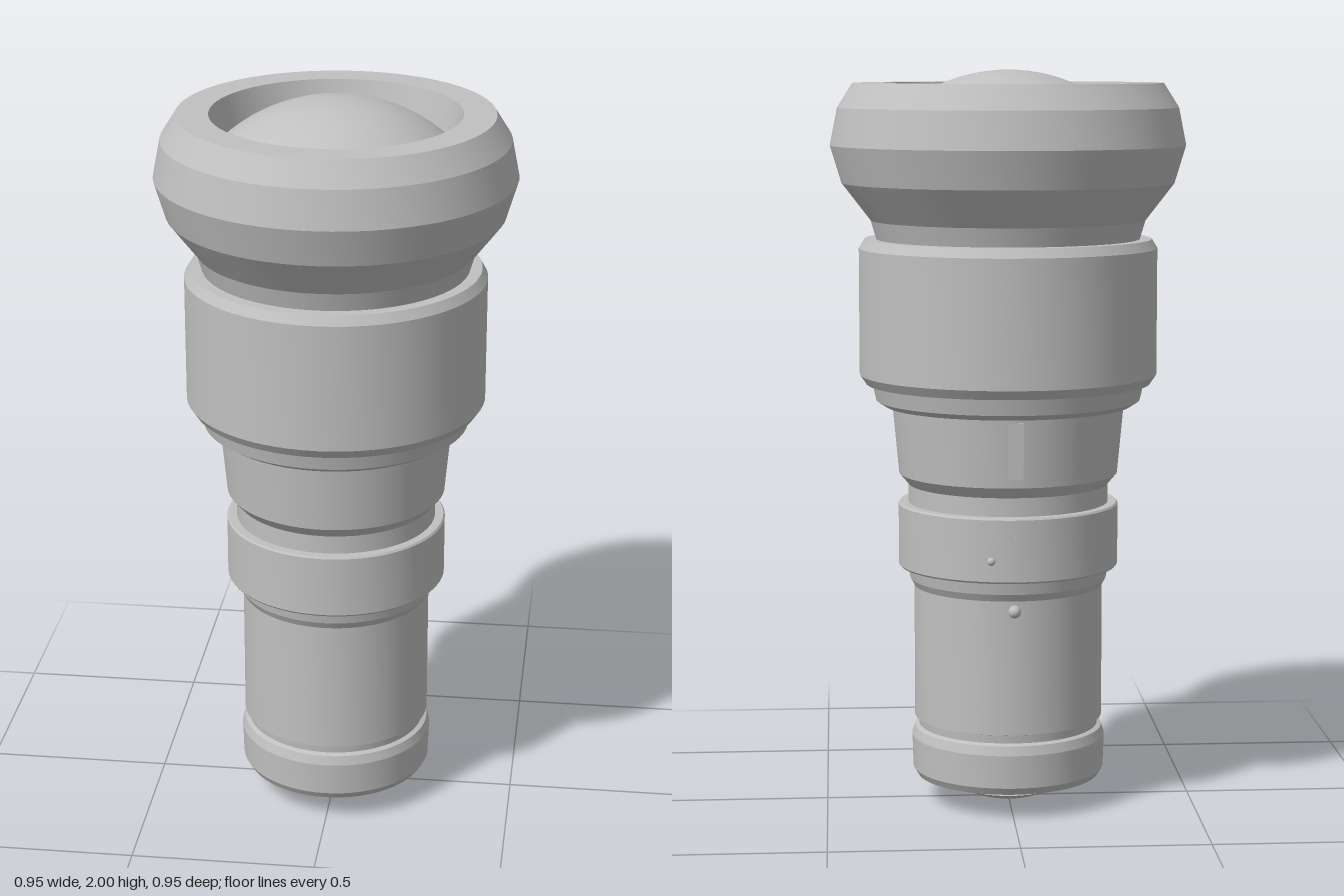
import * as THREE from 'three';
import { toCreasedNormals } from 'three/addons/utils/BufferGeometryUtils.js';

const SEGMENTS = 64;

export function createModel() {
  const group = new THREE.Group();
  const grey = new THREE.MeshStandardMaterial({ color: 0xc0c0c0 });
  grey.name = 'satin grey';

  function add(name, geometry, x = 0, y = 0, z = 0) {
    const mesh = new THREE.Mesh(geometry, grey);
    mesh.name = name;
    mesh.position.set(x, y, z);
    group.add(mesh);
  }

  // Turned part: [radius, height] pairs, bottom to top on the outside
  function turned(name, profile, crease = 0.15) {
    const points = profile.map(([r, y]) => new THREE.Vector2(r, y));
    add(name, toCreasedNormals(new THREE.LatheGeometry(points, SEGMENTS), crease));
  }

  // Points of a spherical cap from its apex (y) to its edge radius
  function cap(apex, edgeRadius, sag, steps = 12) {
    const R = (edgeRadius ** 2 + sag ** 2) / (2 * Math.abs(sag));
    const sweep = Math.asin(edgeRadius / R);
    return Array.from({ length: steps + 1 }, (_, i) => {
      const a = sweep * i / steps;
      return [R * Math.sin(a), apex - Math.sign(sag) * R * (1 - Math.cos(a))];
    });
  }

  // Foot with the recess for the lower lens
  turned('foot', [
    [0, 0.2], [0.14, 0.2], [0.14, 0.075], [0.25, 0.075], [0.262, 0.095],
    [0.265, 0.185], [0.257, 0.21], [0.245, 0.215],
  ]);
  turned('lowerTube', [
    [0.245, 0.215], [0.247, 0.237], [0.257, 0.24], [0.257, 0.605],
    [0.268, 0.625], [0.274, 0.66],
  ]);
  turned('adjustmentRing', [
    [0.274, 0.66], [0.295, 0.66], [0.299, 0.665], [0.299, 0.83],
    [0.295, 0.835], [0.272, 0.835],
  ]);
  turned('taperedCollar', [
    [0.272, 0.835], [0.272, 0.885], [0.297, 0.915], [0.314, 1.1],
  ]);
  turned('mainBarrel', [
    [0.314, 1.1], [0.335, 1.1], [0.358, 1.115], [0.368, 1.16], [0.385, 1.16],
    [0.402, 1.185], [0.402, 1.525], [0.387, 1.55], [0.355, 1.55],
  ]);
  // Flared eyecup with a shallow tapered well for the upper lens
  turned('eyecup', [
    [0.355, 1.55], [0.37, 1.6], [0.447, 1.7], [0.477, 1.8], [0.457, 1.9],
    [0.416, 1.965], [0.33, 1.965], [0.308, 1.87], [0, 1.87],
  ]);

  // Lenses
  turned('upperLens', cap(2, 0.31, 0.124).reverse(), 0.6);
  turned('lowerLens', [...cap(0.004, 0.14, -0.036), [0, 0.04]], 0.6);

  // Index marks along the back
  add('indexTab', new THREE.BoxGeometry(0.04, 0.15, 0.04), 0, 1.015, -0.3);
  add('ringLine', new THREE.BoxGeometry(0.008, 0.1, 0.009), 0, 0.735, -0.297);
  add('ringDot', new THREE.SphereGeometry(0.011, 16, 10), 0.063, 0.72, -0.291);
  add('indexBead', new THREE.SphereGeometry(0.017, 20, 12), 0, 0.58, -0.271);

  return group;
}
